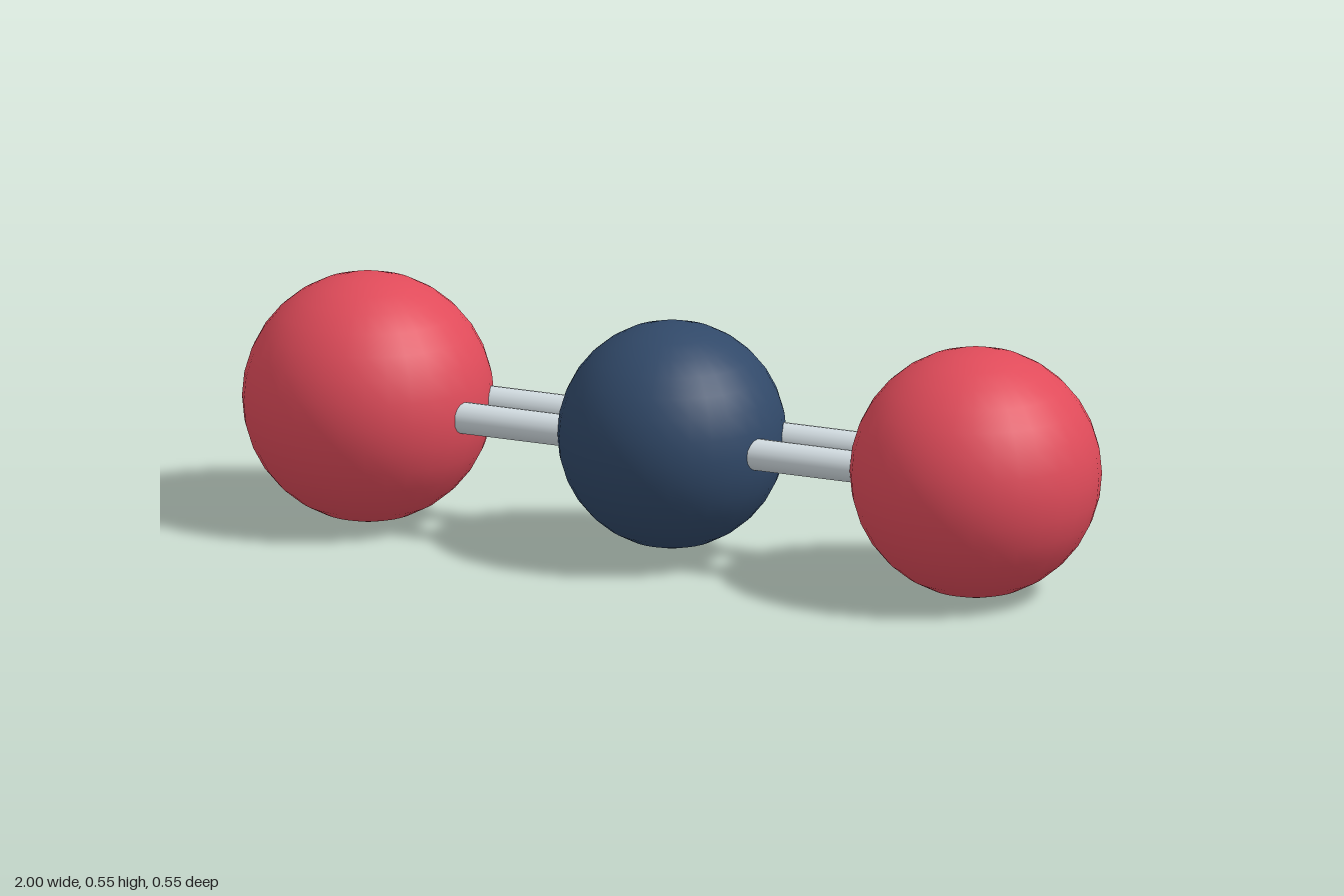
import * as THREE from 'three';

const R_END = 0.275, R_MID = 0.25, R_BOND = 0.035;
const SPACING = 0.725; // centre to centre
const BOND_Z = 0.07;

export function createModel() {
  const group = new THREE.Group();
  const red = new THREE.MeshStandardMaterial({ color: 0xe04b5a });
  const navy = new THREE.MeshStandardMaterial({ color: 0x314969 });
  const silver = new THREE.MeshStandardMaterial({ color: 0xd3dde2 });

  const add = (name, geometry, material, x, z = 0) => {
    const mesh = new THREE.Mesh(geometry, material);
    mesh.name = name;
    mesh.position.set(x, R_END, z);
    group.add(mesh);
  };

  // Central atom
  add('centreAtom', new THREE.SphereGeometry(R_MID, 32, 16), navy, 0);

  const endGeometry = new THREE.SphereGeometry(R_END, 32, 16);
  const bondGeometry = new THREE.CylinderGeometry(R_BOND, R_BOND, SPACING, 16).rotateZ(Math.PI / 2);

  // Outer atoms, each joined to the centre by a double bond
  for (const [side, s] of [['left', 1], ['right', -1]]) {
    add(`${side}Atom`, endGeometry, red, s * SPACING);
    add(`${side}FrontBond`, bondGeometry, silver, s * SPACING / 2, BOND_Z);
    add(`${side}BackBond`, bondGeometry, silver, s * SPACING / 2, -BOND_Z);
  }
  return group;
}
